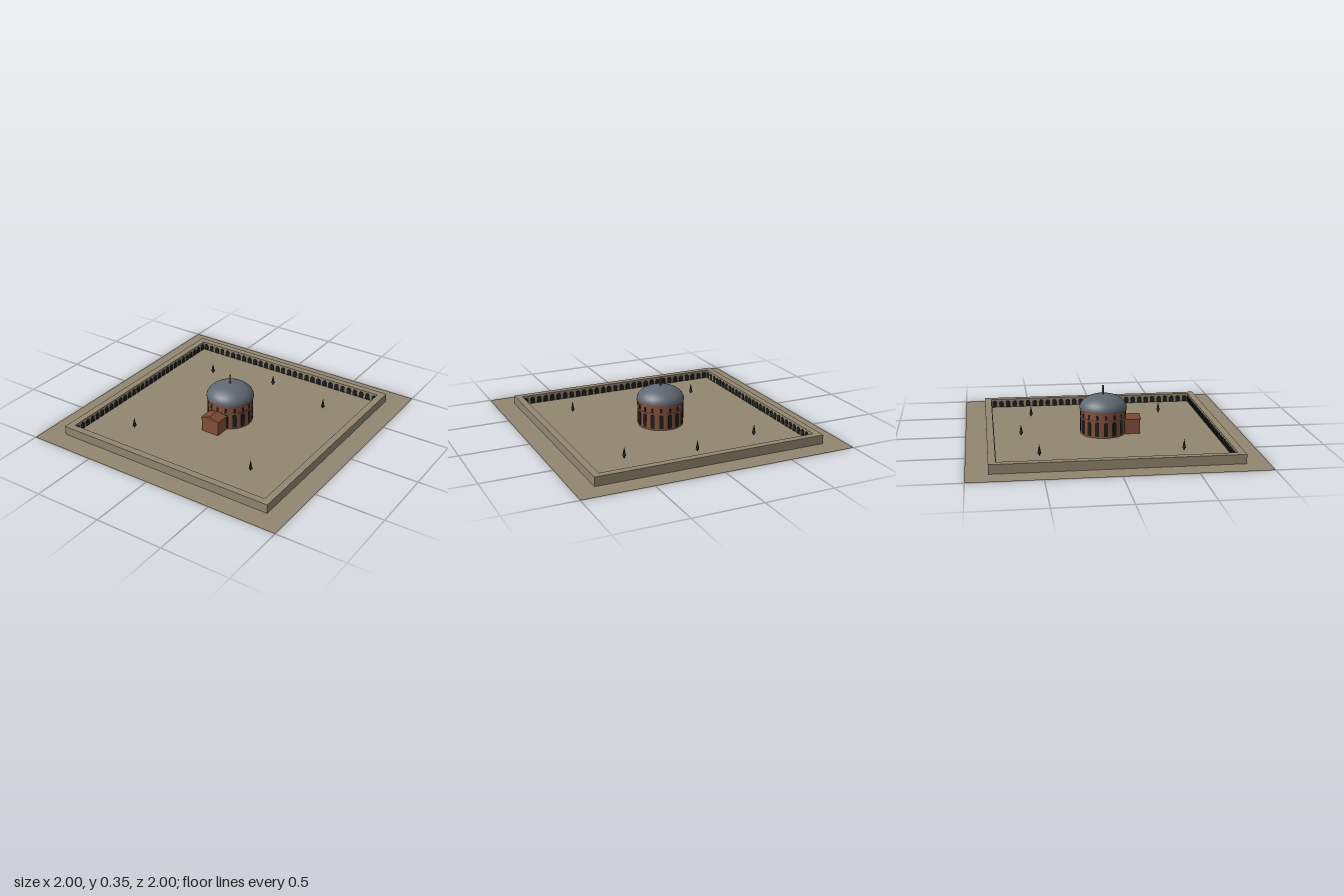
import * as THREE from 'three';

const material = (color, side = THREE.FrontSide) => {
  const m = new THREE.MeshStandardMaterial({ side });
  m.color.set(color);
  return m;
};
const stone = material(0x928670);
const earth = material(0x928670, THREE.DoubleSide);
const brick = material(0x84503c);
const tile = material(0x7d4632);
const slate = material(0x5e6872);
const dark = material(0x1e1e1c);
const leaf = material(0x1c261c);
const wood = material(0x75614a);

function add(parent, name, geometry, mat, x = 0, y = 0, z = 0) {
  const mesh = new THREE.Mesh(geometry, mat);
  mesh.name = name;
  mesh.position.set(x, y, z);
  parent.add(mesh);
  return mesh;
}

// Round-headed panel standing on y = 0, facing +z
function archGeometry(width, height, depth) {
  const r = width / 2;
  const s = new THREE.Shape();
  s.moveTo(-r, 0);
  s.lineTo(r, 0);
  s.lineTo(r, height - r);
  s.absarc(0, height - r, r, 0, Math.PI, false);
  s.closePath();
  return new THREE.ExtrudeGeometry(s, { depth, bevelEnabled: false, curveSegments: 6 });
}

function buildCourtyard() {
  const court = new THREE.Group();
  court.name = 'courtyard';
  add(court, 'ground', new THREE.PlaneGeometry(2, 2).rotateX(-Math.PI / 2), earth);

  // Four enclosing walls with arcades on their inner faces
  const arch = archGeometry(0.036, 0.05, 0.005);
  const count = 30;
  for (let side = 0; side < 4; side++) {
    const wall = new THREE.Group();
    wall.name = 'wallSide';
    wall.rotation.y = side * Math.PI / 2;
    const length = side % 2 ? 1.6 : 1.7;
    add(wall, 'wall', new THREE.BoxGeometry(length, 0.065, 0.05), stone, 0, 0.0325, -0.825);
    for (let i = 0; i < count; i++) {
      add(wall, 'arcadeArch', arch, dark, ((i + 0.5) / count - 0.5) * 1.6, 0.001, -0.801);
    }
    court.add(wall);
  }
  return court;
}

function buildRotunda() {
  const rotunda = new THREE.Group();
  rotunda.name = 'rotunda';
  add(rotunda, 'drum', new THREE.CylinderGeometry(0.165, 0.165, 0.19, 32), brick, 0, 0.095, 0);
  add(rotunda, 'stringCourse', new THREE.CylinderGeometry(0.168, 0.168, 0.008, 32), brick, 0, 0.123, 0);
  add(rotunda, 'cornice', new THREE.CylinderGeometry(0.171, 0.171, 0.014, 32), brick, 0, 0.183, 0);

  // Tall lower arches and small upper windows around the drum
  const lower = archGeometry(0.03, 0.105, 0.006);
  const upper = archGeometry(0.018, 0.032, 0.006);
  const count = 16;
  for (let i = 0; i < count; i++) {
    const a = (i / count) * Math.PI * 2;
    const bay = new THREE.Group();
    bay.name = 'bay';
    bay.rotation.y = a;
    if (i !== 0) add(bay, 'lowerArch', lower, dark, 0, 0.012, 0.161);
    add(bay, 'upperWindow', upper, dark, 0, 0.133, 0.161);
    rotunda.add(bay);
  }

  // Flattened dome with its mast
  const dome = new THREE.SphereGeometry(0.173, 32, 12, 0, Math.PI * 2, 0, Math.PI / 2);
  dome.scale(1, 0.1 / 0.173, 1);
  add(rotunda, 'dome', dome, slate, 0, 0.19, 0);
  const base = new THREE.CircleGeometry(0.173, 32).rotateX(Math.PI / 2);
  add(rotunda, 'domeUnderside', base, slate, 0, 0.19, 0);
  add(rotunda, 'finial', new THREE.CylinderGeometry(0.007, 0.007, 0.07, 8), wood, 0, 0.32, 0);
  return rotunda;
}

function buildPorch() {
  const porch = new THREE.Group();
  porch.name = 'porch';
  add(porch, 'porchBody', new THREE.BoxGeometry(0.14, 0.11, 0.14), brick, 0, 0.055, 0.193);

  // Gable roof with its ridge running front to back
  const gable = new THREE.Shape();
  gable.moveTo(-0.075, 0.106);
  gable.lineTo(0.075, 0.106);
  gable.lineTo(0.075, 0.11);
  gable.lineTo(0, 0.136);
  gable.lineTo(-0.075, 0.11);
  gable.closePath();
  const roof = new THREE.ExtrudeGeometry(gable, { depth: 0.147, bevelEnabled: false });
  add(porch, 'porchRoof', roof, tile, 0, 0, 0.12);
  return porch;
}

function buildTrees() {
  const trees = new THREE.Group();
  trees.name = 'trees';
  const trunk = new THREE.CylinderGeometry(0.004, 0.004, 0.02, 6);
  const crown = new THREE.ConeGeometry(0.013, 0.065, 8);
  for (const [x, z] of [[-0.5, -0.5], [0.5, -0.5], [-0.5, 0.5], [0.5, 0.5], [0, -0.6]]) {
    add(trees, 'treeTrunk', trunk, leaf, x, 0.01, z);
    add(trees, 'treeCrown', crown, leaf, x, 0.0475, z);
  }
  return trees;
}

export function createModel() {
  const model = new THREE.Group();
  model.name = 'domedRotundaCourtyard';
  model.add(buildCourtyard(), buildRotunda(), buildPorch(), buildTrees());
  return model;
}
